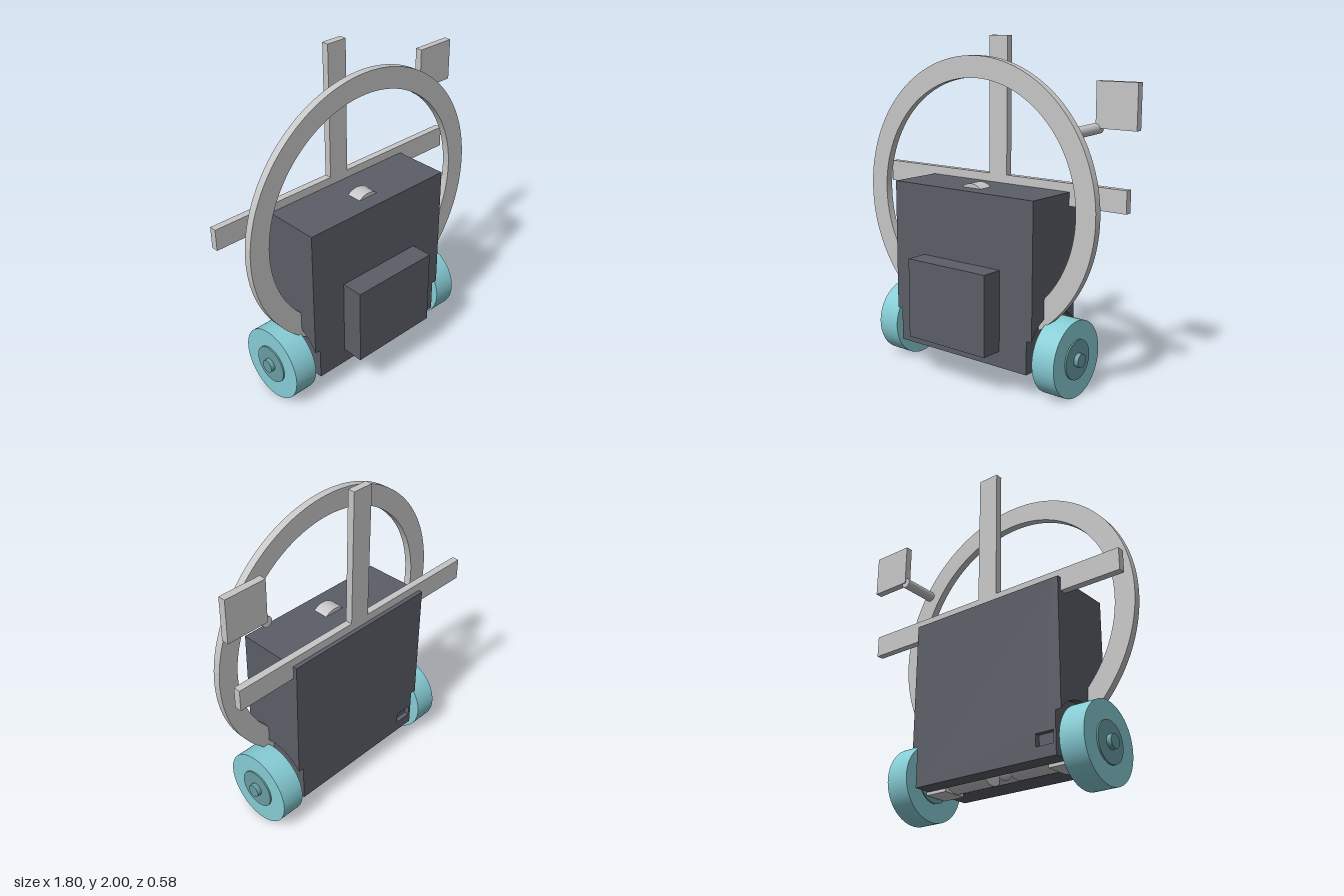
import * as THREE from 'three';
import { toCreasedNormals } from 'three/addons/utils/BufferGeometryUtils.js';

const mat = (name, color) => {
  const m = new THREE.MeshStandardMaterial({ color });
  m.name = name;
  return m;
};

export function createModel() {
  const dark = mat('charcoal', 0x5b5e67);
  const light = mat('light grey', 0xc6c6c7);
  const teal = mat('tyre teal', 0x86ccd5);
  const hubTeal = mat('hub teal', 0x699da3);

  const model = new THREE.Group();
  model.name = 'wheeledRobot';
  const rig = new THREE.Group(); // symmetric parts share this centre line
  rig.name = 'assembly';
  rig.position.x = -0.026;
  model.add(rig);

  const add = (name, geometry, material) => {
    const m = new THREE.Mesh(geometry, material);
    m.name = name;
    rig.add(m);
    return m;
  };
  // box from its limits
  const box = (name, material, x0, x1, y0, y1, z0, z1) =>
    add(name, new THREE.BoxGeometry(x1 - x0, y1 - y0, z1 - z0), material)
      .position.set((x0 + x1) / 2, (y0 + y1) / 2, (z0 + z1) / 2);
  // side profile (-z, y) extruded along x
  const sideExtrude = (name, material, shape, x0, x1) => {
    const g = new THREE.ExtrudeGeometry(shape, { depth: x1 - x0, bevelEnabled: false, curveSegments: 40 });
    g.rotateY(Math.PI / 2);
    add(name, toCreasedNormals(g, 0.5), material).position.x = x0;
  };
  const axleY = 0.225, axleZ = -0.063;
  // cylinder lying on the axle line
  const axleCylinder = (name, material, r, x0, x1, sides = 64) => {
    const g = new THREE.CylinderGeometry(r, r, Math.abs(x1 - x0), sides);
    g.rotateZ(Math.PI / 2);
    add(name, g, material).position.set((x0 + x1) / 2, axleY, axleZ);
  };
  const polygon = pts => new THREE.Shape(pts.map(p => new THREE.Vector2(...p)));

  // body core with a slot underneath for the motors
  sideExtrude('bodyCore', dark, polygon([
    [-0.155, 0.15], [0.005, 0.15], [0.005, 0.34], [0.15, 0.34], [0.15, 0.15],
    [0.225, 0.15], [0.225, 1.14], [-0.155, 1.14],
  ]), -0.475, 0.475);

  // back panel with a small switch opening
  const panel = polygon([[-0.475, 0.15], [0.475, 0.15], [0.475, 1.14], [-0.475, 1.14]]);
  panel.holes.push(polygon([[-0.46, 0.215], [-0.46, 0.285], [-0.35, 0.285], [-0.35, 0.215]]));
  add('backPanel', new THREE.ExtrudeGeometry(panel, { depth: 0.03, bevelEnabled: false }), dark)
    .position.z = -0.255;

  // body sides, cut out around the wheels
  const wellR = 0.25;
  const side = new THREE.Shape();
  side.moveTo(0.255, 1.14);
  side.lineTo(-0.155, 1.14);
  side.absarc(-axleZ, axleY, wellR, Math.acos((-0.155 + axleZ) / wellR), Math.acos((0.255 + axleZ) / wellR), true);
  side.closePath();
  sideExtrude('bodySideRight', dark, side, -0.51, -0.475);
  sideExtrude('bodySideLeft', dark, side, 0.475, 0.51);

  // front box
  box('frontBox', dark, -0.285, 0.285, 0.245, 0.72, 0.155, 0.29);

  // big ring with its central boss
  const ring = new THREE.Shape().absarc(0, 0, 0.83, 0, Math.PI * 2);
  ring.holes.push(new THREE.Path().absarc(0, 0, 0.705, 0, Math.PI * 2, true));
  const ringGeo = new THREE.ExtrudeGeometry(ring, { depth: 0.045, bevelEnabled: false, curveSegments: 64 });
  add('ring', toCreasedNormals(ringGeo, 0.5), light).position.set(0, 1.06, -0.005);
  const boss = new THREE.CylinderGeometry(0.105, 0.105, 0.095, 64).rotateX(Math.PI / 2);
  add('ringBoss', boss, light).position.set(0, 1.06, 0.0125);

  // cross bars behind the ring
  box('crossBar', light, -0.878, 0.878, 1.06, 1.19, -0.23, -0.187);
  box('uprightBar', light, -0.065, 0.065, 1.19, 2.0, -0.23, -0.187);

  // square plate on a short rod
  box('squarePlate', light, 0.671, 0.926, 1.51, 1.765, -0.23, -0.187);
  const from = new THREE.Vector3(0.661, 1.497, 0.005), to = new THREE.Vector3(0.67, 1.508, -0.225);
  const rod = add('plateRod', new THREE.CylinderGeometry(0.031, 0.031, from.distanceTo(to), 32), light);
  rod.position.copy(from).lerp(to, 0.5);
  rod.quaternion.setFromUnitVectors(new THREE.Vector3(0, 1, 0), to.clone().sub(from).normalize());

  // wheels, hubs, axles and motors on both sides
  for (const [s, label] of [[1, 'Left'], [-1, 'Right']]) {
    axleCylinder('wheel' + label, teal, 0.225, s * 0.518, s * 0.663, 80);
    axleCylinder('hub' + label, hubTeal, 0.116, s * 0.511, s * 0.672);
    axleCylinder('axleCap' + label, hubTeal, 0.04, s * 0.66, s * 0.699, 32);
    axleCylinder('axle' + label, light, 0.03, s * 0.08, s * 0.515, 32);
    axleCylinder('motor' + label, light, 0.09, s * 0.085, s * 0.35);
    const [a, b] = s > 0 ? [0.35, 0.49] : [-0.49, -0.35];
    box('motorMount' + label, light, a, b, 0.132, 0.33, -0.15, 0.003);
  }

  // small ball between the motors
  add('centreBall', new THREE.SphereGeometry(0.04, 24, 16), light).position.set(0, 0.19, axleZ);

  return model;
}
